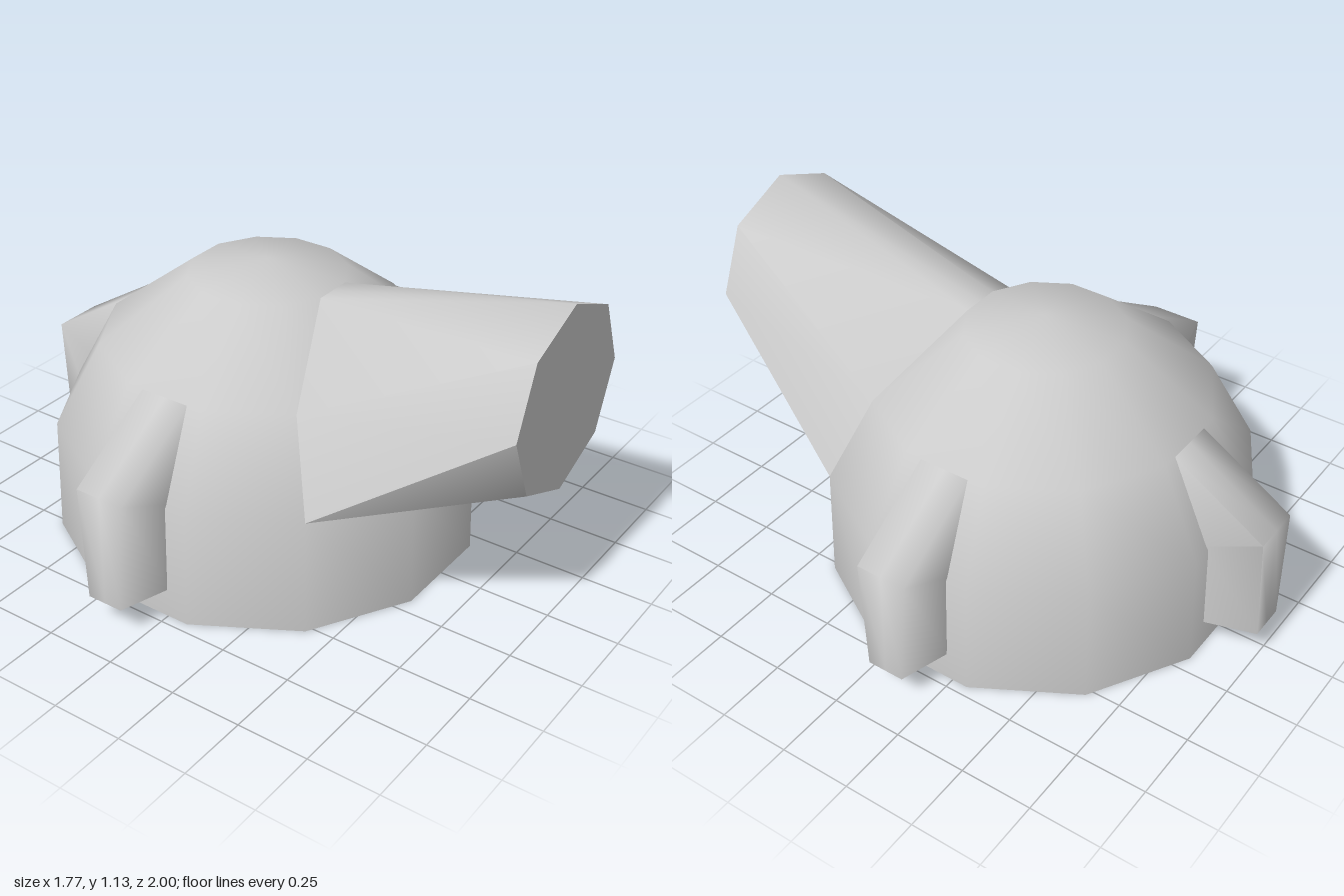
import * as THREE from 'three';
import { toCreasedNormals } from 'three/addons/utils/BufferGeometryUtils.js';

const CENTRE_Z = -0.115;
const material = new THREE.MeshStandardMaterial({ color: 0xcccccc, side: THREE.DoubleSide });

function makeMesh(name, geometry, crease) {
  const mesh = new THREE.Mesh(toCreasedNormals(geometry, crease), material);
  mesh.name = name;
  return mesh;
}

// Builds a shape symmetric in x from the polygons of its +x half
function mirroredGeometry(polygons) {
  const positions = [];
  const addFan = (p) => {
    for (let i = 1; i < p.length - 1; i++) positions.push(...p[0], ...p[i], ...p[i + 1]);
  };
  for (const p of polygons) {
    addFan(p);
    addFan(p.map(([x, y, z]) => [-x, y, z]).reverse());
  }
  const geometry = new THREE.BufferGeometry();
  geometry.setAttribute('position', new THREE.Float32BufferAttribute(positions, 3));
  return geometry;
}

const onAxis = ([, y, z]) => [0, y, z];

// Dome rings as [radius, height]
const rings = [[0, 0], [0.74, 0], [0.73, 0.41], [0.57, 0.705], [0.27, 0.93], [0, 0.975]];

// Corner of a dome ring at an angle from the front
function domeCorner(ring, degrees) {
  const [r, y] = rings[ring];
  const a = THREE.MathUtils.degToRad(degrees);
  return [r * Math.sin(a), y, CENTRE_Z + r * Math.cos(a)];
}

// Twelve-sided dome with a closed base
function createDome() {
  const profile = rings.map(([r, y]) => new THREE.Vector2(r, y));
  const geometry = new THREE.LatheGeometry(profile, 12, Math.PI / 12);
  geometry.translate(0, 0, CENTRE_Z);
  return makeMesh('dome', geometry, 0.8);
}

// Octagonal spout that flares back onto the front corners of the dome
function createSpout() {
  const mouthCentre = [0, 0.81, 1];
  const mouth = [];
  for (let k = 0; k <= 4; k++) {
    const a = (k * Math.PI) / 4;
    mouth.push([0.32 * Math.sin(a), 0.81 + 0.32 * Math.cos(a), 1]);
  }
  const root = [domeCorner(4, 15), domeCorner(3, 45), domeCorner(2, 45), domeCorner(2, 15)];
  const polygons = [
    [mouth[0], root[0], onAxis(root[0])],
    [mouth[4], onAxis(root[3]), root[3]],
  ];
  for (let k = 0; k < 4; k++) {
    polygons.push([mouth[k], mouth[k + 1], root[k]]);
    if (k < 3) polygons.push([mouth[k + 1], root[k + 1], root[k]]);
    polygons.push([mouthCentre, mouth[k + 1], mouth[k]]);
  }
  return makeMesh('spout', mirroredGeometry(polygons), 0.8);
}

// Tapered buttress, built pointing to +z and turned into place
function createButtress(name, turn) {
  const crest = [0.09, 0.71, 0.54];
  const outerTop = [0.09, 0.5, 0.88];
  const outerFoot = [0.065, 0.105, 0.885];
  const wallTop = [0.115, 0.42, 0.69];
  const wallFoot = [0.115, 0.1, 0.7];
  const geometry = mirroredGeometry([
    [onAxis(crest), onAxis(outerTop), outerTop, crest],
    [onAxis(outerTop), onAxis(outerFoot), outerFoot, outerTop],
    [crest, outerTop, wallTop],
    [outerTop, outerFoot, wallFoot, wallTop],
    [onAxis(outerFoot), onAxis(wallFoot), wallFoot, outerFoot],
  ]);
  const mesh = makeMesh(name, geometry, 1.5);
  mesh.position.z = CENTRE_Z;
  mesh.rotation.y = turn;
  return mesh;
}

export function createModel() {
  const group = new THREE.Group();
  group.name = 'spoutedDome';
  group.add(
    createDome(),
    createSpout(),
    createButtress('leftButtress', Math.PI / 2),
    createButtress('rightButtress', -Math.PI / 2),
    createButtress('backButtress', Math.PI),
  );
  return group;
}
